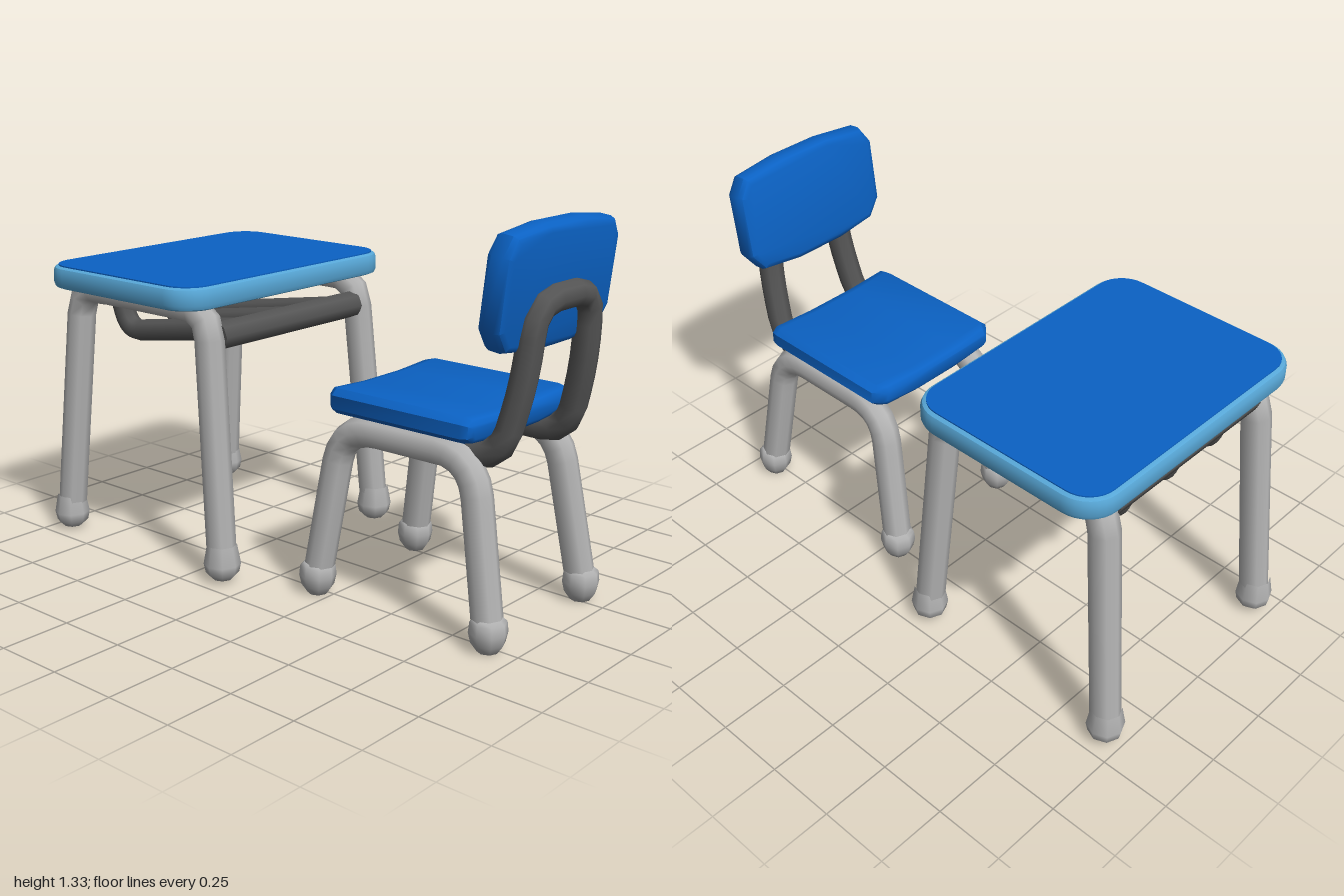
import * as THREE from 'three';
import { toCreasedNormals } from 'three/addons/utils/BufferGeometryUtils.js';

const mat = (name, color) => {
  const m = new THREE.MeshStandardMaterial({ color });
  m.name = name;
  return m;
};
const V = (x, y, z) => new THREE.Vector3(x, y, z);

// Straight runs joined by rounded corners
function bentPath(points, bend) {
  const path = new THREE.CurvePath();
  let from = points[0];
  for (let i = 1; i < points.length - 1; i++) {
    const p = points[i];
    const toward = (q) => p.clone().add(q.clone().sub(p).setLength(bend));
    const a = toward(points[i - 1]), b = toward(points[i + 1]);
    path.add(new THREE.LineCurve3(from, a));
    path.add(new THREE.QuadraticBezierCurve3(a, p, b));
    from = b;
  }
  path.add(new THREE.LineCurve3(from, points[points.length - 1]));
  return path;
}

// Rounded rectangle, centred on the origin
function roundedRect(w, h, r) {
  const s = new THREE.Shape(), x = w / 2, y = h / 2;
  s.absarc(x - r, y - r, r, 0, Math.PI / 2);
  s.absarc(-x + r, y - r, r, Math.PI / 2, Math.PI);
  s.absarc(-x + r, -y + r, r, Math.PI, Math.PI * 1.5);
  s.absarc(x - r, -y + r, r, Math.PI * 1.5, Math.PI * 2);
  return s;
}

// Extrusion centred on its depth, with the bevel cut inside the outline
function slab(shape, depth, bevel, thickness = bevel) {
  const g = new THREE.ExtrudeGeometry(shape, {
    depth: depth - 2 * thickness, bevelEnabled: bevel > 0, bevelSize: bevel,
    bevelThickness: thickness, bevelOffset: -bevel, bevelSegments: 2, curveSegments: 4,
  });
  return g.translate(0, 0, thickness - depth / 2);
}

// Closed outline from its right half, listed from bottom to top
function mirroredShape(half) {
  const left = half.map(([x, y]) => [-x, y]).reverse();
  return new THREE.Shape([...half, ...left].map(([x, y]) => new THREE.Vector2(x, y)));
}

export function createModel() {
  const model = new THREE.Group();
  model.name = 'deskAndChair';
  const blue = mat('blue', 0x0b62c4);
  const lightBlue = mat('lightBlue', 0x58a8d8);
  const lightGrey = mat('lightGrey', 0xb4b4b4);
  const darkGrey = mat('darkGrey', 0x555555);
  darkGrey.side = THREE.DoubleSide;

  const desk = new THREE.Group();
  desk.name = 'desk';
  const chair = new THREE.Group();
  chair.name = 'chair';
  model.add(desk, chair);

  const add = (parent, name, geometry, material, x = 0, y = 0, z = 0) => {
    const m = new THREE.Mesh(geometry, material);
    m.name = name;
    m.position.set(x, y, z);
    parent.add(m);
    return m;
  };
  const tube = (parent, name, points, bend, radius, material) =>
    add(parent, name, new THREE.TubeGeometry(bentPath(points, bend), 36, radius, 8), material);

  // One side frame: two legs, a top run and a foot on each leg
  const footGeometry = (profile) =>
    new THREE.LatheGeometry(profile.map(([r, y]) => new THREE.Vector2(r, y)), 8);
  const sideFrame = (parent, name, points, bend, foot) => {
    tube(parent, name, points, bend, 0.052, lightGrey);
    for (const p of [points[0], points[3]]) add(parent, name + 'Foot', foot, lightGrey, p.x, 0, p.z);
  };

  const deskFoot = footGeometry([[0, 0.015], [0.035, 0.01], [0.058, 0.032], [0.065, 0.065], [0.052, 0.135]]);
  const chairFoot = footGeometry([[0, 0.005], [0.035, 0], [0.056, 0.03], [0.064, 0.065], [0.06, 0.1], [0.045, 0.112], [0, 0.112]]);
  for (const s of [-1, 1]) {
    sideFrame(desk, 'deskLegs', [
      V(s * 0.415, 0.06, -0.12), V(s * 0.385, 0.945, -0.195),
      V(s * 0.385, 0.945, -0.845), V(s * 0.415, 0.06, -0.93)], 0.1, deskFoot);
    sideFrame(chair, 'chairLegs', [
      V(s * 0.27, 0.06, 0.9), V(s * 0.235, 0.602, 0.805),
      V(s * 0.235, 0.602, 0.28), V(s * 0.27, 0.06, 0.195)], 0.13, chairFoot);
  }

  // Desk top: light rim with inset blue faces above and below
  const flat = (g) => toCreasedNormals(g.rotateX(-Math.PI / 2), 0.7);
  add(desk, 'deskRim', flat(slab(roundedRect(1.05, 0.765, 0.12), 0.08, 0.02)), lightBlue, 0, 0.996, -0.53);
  add(desk, 'deskTop', flat(slab(roundedRect(1.012, 0.727, 0.1), 0.008, 0)), blue, 0, 1.036, -0.53);
  add(desk, 'deskUnderside', flat(slab(roundedRect(0.92, 0.63, 0.08), 0.006, 0)), blue, 0, 0.955, -0.53);

  // Storage rack: two crossbars and three sloping rails
  const bar = (length, r) => new THREE.CylinderGeometry(r, r, length, 8).rotateZ(Math.PI / 2);
  add(desk, 'frontCrossbar', bar(0.71, 0.05), darkGrey, 0, 0.852, -0.187);
  add(desk, 'rearCrossbar', bar(0.71, 0.045), darkGrey, 0, 0.925, -0.84);
  for (const x of [-0.235, 0, 0.235]) {
    tube(desk, 'rackRail', [
      V(x, 0.858, -0.19), V(x, 0.765, -0.765), V(x, 0.925, -0.825)], 0.07, 0.04, darkGrey);
  }

  // Seat: slightly dished section, drawn in at the front corners
  const seatShape = mirroredShape([
    [0.1, 0.637], [0.265, 0.65], [0.29, 0.67], [0.29, 0.715], [0.265, 0.735], [0.1, 0.726]]);
  const seat = slab(seatShape, 0.59, 0.02, 0.04);
  const pos = seat.attributes.position;
  for (let i = 0; i < pos.count; i++) {
    const z = pos.getZ(i);
    if (z < -0.26) pos.setX(i, pos.getX(i) * 0.93);
  }
  add(chair, 'seat', toCreasedNormals(seat, 0.8), blue, 0, 0, 0.53);

  // Backrest: arched panel leaning backwards
  const backShape = mirroredShape([
    [0.1, -0.2], [0.26, -0.178], [0.31, -0.11], [0.31, 0.12], [0.27, 0.18], [0.1, 0.2]]);
  const back = add(chair, 'backrest', toCreasedNormals(slab(backShape, 0.09, 0.025), 0.8), blue, 0, 1.13, 0.905);
  back.rotation.x = 0.12;

  // Backrest hoop, continuing forward under the seat
  const side = (s) => [
    V(s * 0.19, 0.6, 0.42), V(s * 0.19, 0.6, 0.87),
    V(s * 0.17, 0.85, 0.935), V(s * 0.152, 1.095, 0.955)];
  tube(chair, 'backrestHoop', [...side(-1), ...side(1).reverse()], 0.1, 0.046, darkGrey);

  return model;
}
